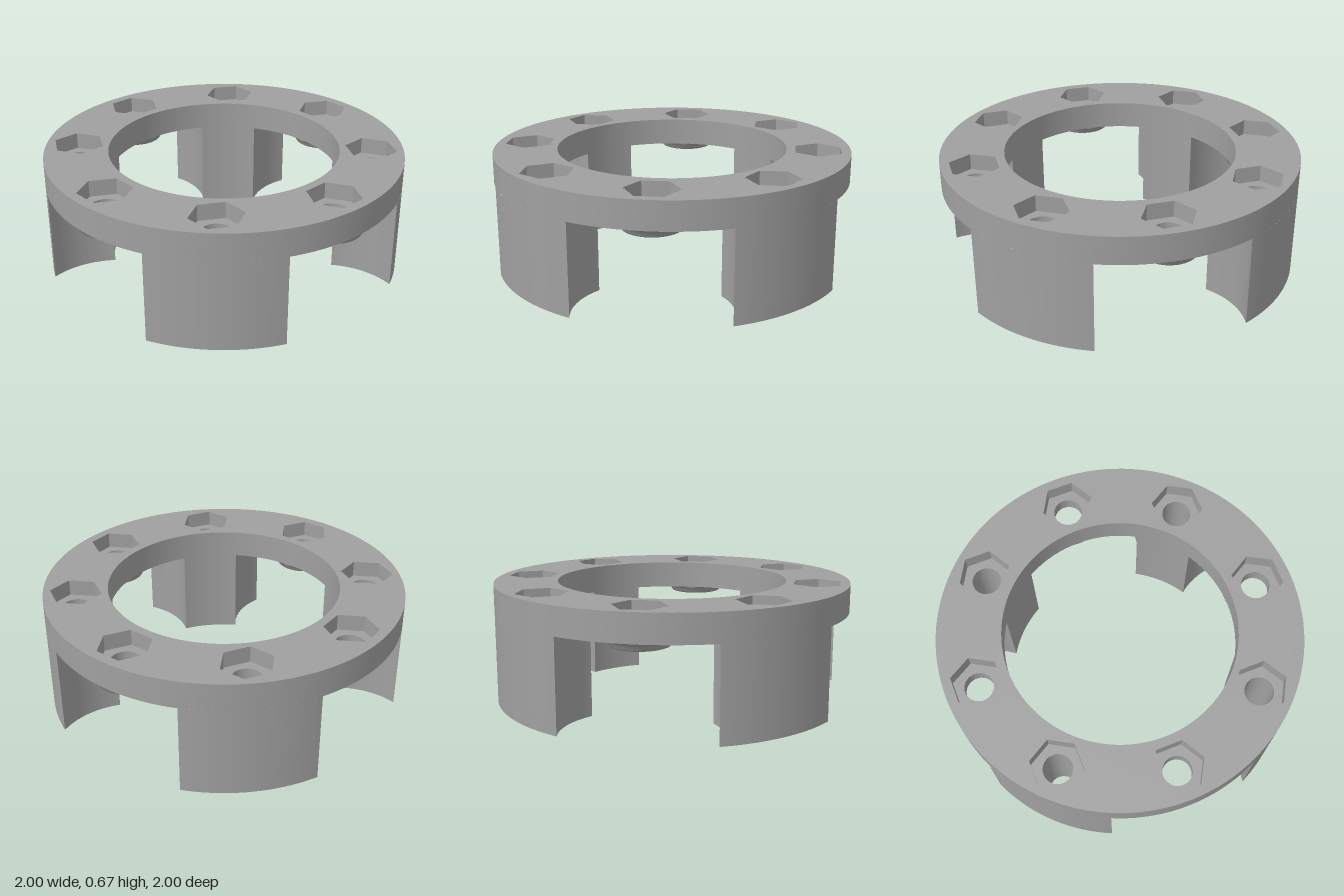
import * as THREE from 'three';
import { toCreasedNormals } from 'three/addons/utils/BufferGeometryUtils.js';

const TOP = 0.665, FLOOR = 0.575, UNDER = 0.51;   // ring top, pocket floor, ring underside
const OUT = 1, IN = 0.645, BOLT = 0.82, CUT = 0.42, HOLE = 0.08;
const rad = THREE.MathUtils.degToRad;

export function createModel() {
  const grey = new THREE.MeshStandardMaterial({ color: 0xa0a0a0 });
  grey.name = 'grey';
  const model = new THREE.Group();
  model.name = 'flangedRing';
  // Parts are drawn in plan (x, -z) with height along local z
  const body = new THREE.Group();
  body.name = 'body';
  body.rotation.x = -Math.PI / 2;
  model.add(body);

  const add = (name, geometry, turn = 0) => {
    const mesh = new THREE.Mesh(geometry, grey);
    mesh.name = name;
    mesh.rotation.z = turn;
    body.add(mesh);
  };

  // Flat face at a height, facing up or down
  const cap = (shape, h, up) => {
    const g = new THREE.ShapeGeometry(shape, 48);
    if (!up) {
      const idx = g.index.array;
      for (let i = 0; i < idx.length; i += 3) [idx[i], idx[i + 1]] = [idx[i + 1], idx[i]];
      g.computeVertexNormals();
    }
    return g.translate(0, 0, h);
  };

  // Upright wall along a closed outline; counter-clockwise faces outward
  const wall = (pts, h0, h1) => {
    const pos = [];
    pts.forEach((a, i) => {
      const b = pts[(i + 1) % pts.length];
      if (a.distanceTo(b) < 1e-5) return;
      pos.push(a.x, a.y, h0, b.x, b.y, h0, b.x, b.y, h1);
      pos.push(a.x, a.y, h0, b.x, b.y, h1, a.x, a.y, h1);
    });
    const g = new THREE.BufferGeometry();
    g.setAttribute('position', new THREE.Float32BufferAttribute(pos, 3));
    g.computeVertexNormals();
    return toCreasedNormals(g, 0.6);
  };

  const polygon = (x, y, r, n, turn = 0) => Array.from({ length: n }, (_, i) => {
    const a = turn + (i / n) * Math.PI * 2;
    return new THREE.Vector2(x + r * Math.cos(a), y + r * Math.sin(a));
  });

  // Turned bore, counterbore and optional boss; trimmed to the ring's width
  const turned = (profile, x, y) => {
    const points = profile.map(([r, h]) => new THREE.Vector2(r, h));
    const g = new THREE.LatheGeometry(points, 64).rotateX(Math.PI / 2).translate(x, y, 0);
    const p = g.attributes.position;
    for (let i = 0; i < p.count; i++) {
      const r = Math.hypot(p.getX(i), p.getY(i));
      const s = THREE.MathUtils.clamp(r, IN, OUT) / r;
      p.setXY(i, p.getX(i) * s, p.getY(i) * s);
    }
    return toCreasedNormals(g, 0.8);
  };

  // Ring walls and top face with hexagonal openings
  const outer = polygon(0, 0, OUT, 128), inner = polygon(0, 0, IN, 128);
  add('ringOuterWall', wall(outer, UNDER, TOP));
  add('ringInnerWall', wall([...inner].reverse(), UNDER, TOP));
  const topShape = new THREE.Shape(outer);
  topShape.holes.push(new THREE.Path(inner));

  // Hexagonal nut pockets and their floors
  for (let k = 0; k < 8; k++) {
    const a = (k * Math.PI) / 4, x = BOLT * Math.cos(a), y = BOLT * Math.sin(a);
    const hex = polygon(x, y, 0.145, 6, k % 4 < 2 ? Math.PI / 6 : 0);
    topShape.holes.push(new THREE.Path(hex));
    add('nutPocketWall', wall([...hex].reverse(), FLOOR, TOP));
    const floor = new THREE.Shape(hex);
    floor.holes.push(new THREE.Path(polygon(x, y, HOLE, 64)));
    add('nutPocketFloor', cap(floor, FLOOR, true));
  }
  add('ringTop', cap(topShape, TOP, true));

  // Leg outline: ring sector with round scallops on both sides
  const leg = new THREE.Shape();
  leg.absarc(0, 0, OUT, rad(24.2), rad(65.8), false);
  leg.absarc(0, BOLT, CUT, rad(12.6), rad(-38.9), true);
  leg.absarc(0, 0, IN, rad(59.5), rad(30.5), true);
  leg.absarc(BOLT, 0, CUT, rad(128.9), rad(77.4), true);
  const legWall = wall(leg.getPoints(32), 0, UNDER);
  const d = BOLT * Math.SQRT1_2;
  leg.holes.push(new THREE.Path(polygon(d, d, 0.12, 64)));
  const legFoot = cap(leg, 0, false);
  const legBore = turned([[HOLE, FLOOR], [HOLE, 0.03], [0.12, 0.03], [0.12, 0]], d, d);

  // Underside of the ring between two legs
  const gap = new THREE.Shape();
  gap.absarc(0, 0, OUT, rad(65.8), rad(114.2), false);
  gap.absarc(0, BOLT, CUT, rad(167.4), rad(218.9), false);
  gap.absarc(0, 0, IN, rad(120.5), rad(59.5), true);
  gap.absarc(0, BOLT, CUT, rad(-38.9), rad(12.6), false);
  gap.holes.push(new THREE.Path(polygon(0, BOLT, 0.13, 64)));
  const gapFace = cap(gap, UNDER, false);

  // Flared boss with its bore
  const boss = turned([
    [HOLE, FLOOR], [HOLE, 0.495], [0.12, 0.495], [0.12, 0.465], [0.14, 0.465],
    [0.152, 0.469], [0.158, 0.478], [0.163, 0.492], [0.175, 0.503], [0.2, UNDER],
  ], 0, BOLT);

  for (let k = 0; k < 4; k++) {
    const turn = (k * Math.PI) / 2;
    add('legWall', legWall, turn);
    add('legFoot', legFoot, turn);
    add('legBore', legBore, turn);
    add('ringUnderside', gapFace, turn);
    add('boss', boss, turn);
  }
  return model;
}
